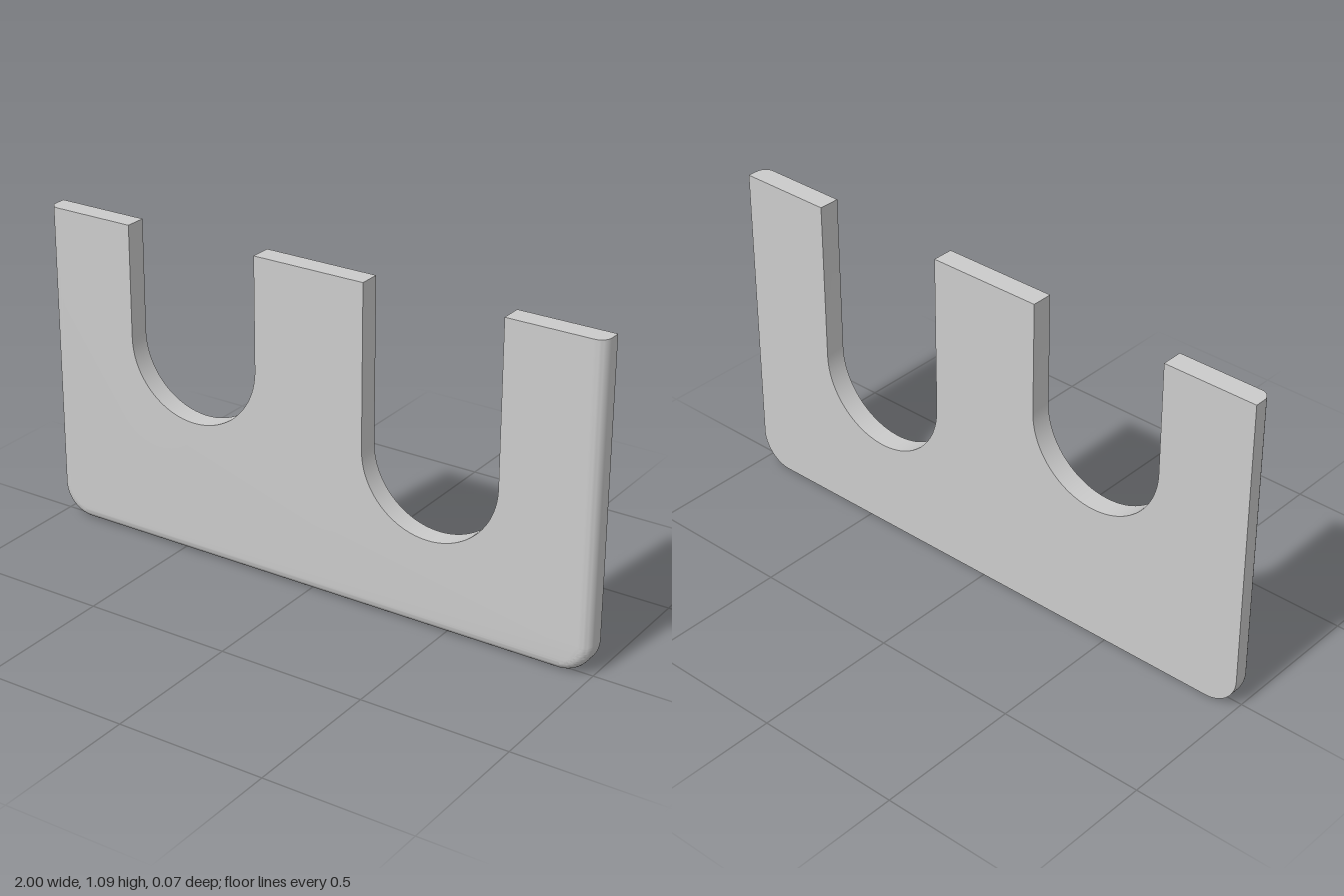
import * as THREE from 'three';
import { toCreasedNormals } from 'three/addons/utils/BufferGeometryUtils.js';

const HEIGHT = 1.09, HALF = 1, DEPTH = 0.072;
const CORNER = 0.11;  // lower corner radius
const ROUND = 0.036;  // rounding of the front edge
const STEPS = 9;      // one straight layer, the rest follow the rounding

// Slots open at the top, listed from right to left of the outline's top edge
const SLOT_RADIUS = 0.24;
const SLOTS = [{ x: 0.436, y: 0.545 }, { x: -0.439, y: 0.71 }];

function plateShape() {
  const s = new THREE.Shape();
  s.moveTo(-HALF, HEIGHT);
  s.lineTo(-HALF, CORNER);
  s.absarc(-HALF + CORNER, CORNER, CORNER, Math.PI, Math.PI * 1.5, false);
  s.lineTo(HALF - CORNER, 0);
  s.absarc(HALF - CORNER, CORNER, CORNER, -Math.PI / 2, 0, false);
  s.lineTo(HALF, HEIGHT);
  for (const { x, y } of SLOTS) {
    s.lineTo(x + SLOT_RADIUS, HEIGHT);
    s.lineTo(x + SLOT_RADIUS, y);
    s.absarc(x, y, SLOT_RADIUS, 0, -Math.PI, true);
    s.lineTo(x - SLOT_RADIUS, HEIGHT);
  }
  s.closePath();
  return s;
}

// Draws the sides and bottom inward layer by layer towards the front face
function roundFrontEdge(geometry) {
  const pos = geometry.attributes.position;
  for (let i = 0; i < pos.count; i++) {
    const layer = Math.round(pos.getZ(i) / DEPTH * STEPS);
    const a = Math.max(0, layer - 1) / (STEPS - 1) * Math.PI / 2;
    const z = layer === 0 ? -DEPTH / 2 : DEPTH / 2 - ROUND + ROUND * Math.sin(a);
    const inset = ROUND * (1 - Math.cos(a));
    const x = pos.getX(i), y = pos.getY(i);
    const cx = THREE.MathUtils.clamp(x, -HALF + CORNER, HALF - CORNER);
    const cy = Math.max(y, CORNER);
    const onRim = Math.hypot(x - cx, y - cy) > CORNER * 0.95;
    const k = onRim ? (CORNER - inset) / CORNER : 1;
    pos.setXYZ(i, cx + (x - cx) * k, cy + (y - cy) * k, z);
  }
}

export function createModel() {
  const group = new THREE.Group();
  group.name = 'slottedPlate';

  const geometry = new THREE.ExtrudeGeometry(plateShape(), {
    depth: DEPTH, steps: STEPS, bevelEnabled: false, curveSegments: 24,
  });
  roundFrontEdge(geometry);

  const plate = new THREE.Mesh(
    toCreasedNormals(geometry, Math.PI / 6),
    new THREE.MeshStandardMaterial({ color: 0xcccccc })
  );
  plate.name = 'plate';
  group.add(plate);
  return group;
}
